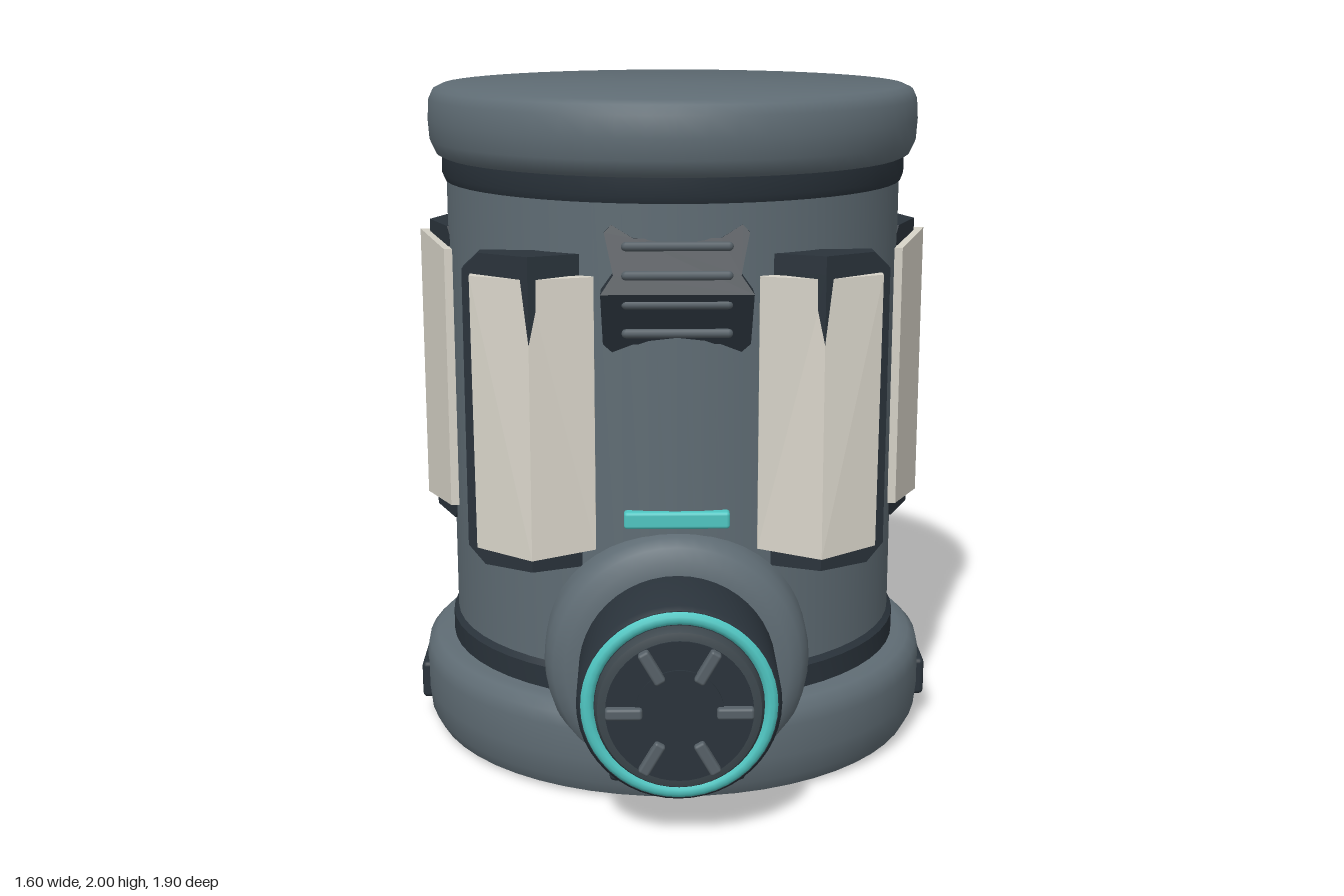
import * as THREE from 'three';
import { toCreasedNormals } from 'three/addons/utils/BufferGeometryUtils.js';
import { RoundedBoxGeometry } from 'three/addons/geometries/RoundedBoxGeometry.js';

const AXIS = -0.15; // z of the main drum axis

export function createModel() {
  const root = new THREE.Group();
  const mat = (name, color) => {
    const m = new THREE.MeshStandardMaterial({ color });
    m.name = name;
    return m;
  };
  const body = mat('slate metal', 0x5f6c74);
  const dark = mat('dark metal', 0x2a333b);
  const plate = mat('off-white panel', 0xd6d2c7);
  const teal = mat('teal glow', 0x4fc6c2);
  const grey = mat('grey trim', 0x566067);
  const disc = mat('lens grey', 0x3d474d);

  const add = (name, geo, material, x = 0, y = 0, z = 0, parent = root) => {
    const m = new THREE.Mesh(geo, material);
    m.name = name;
    m.position.set(x, y, z);
    parent.add(m);
    return m;
  };
  const lathe = (pts, seg = 56) => toCreasedNormals(
    new THREE.LatheGeometry(pts.map(p => new THREE.Vector2(p[0], p[1])), seg), 0.7);

  // Drum: base, rings, wall and cap
  add('base', lathe([[0, 0], [0.73, 0], [0.765, 0.012], [0.785, 0.05], [0.793, 0.12], [0.793, 0.21],
    [0.785, 0.25], [0.76, 0.275], [0.73, 0.28], [0, 0.28]]), body, 0, 0, AXIS);
  add('lowerRing', lathe([[0.6, 0.27], [0.705, 0.27], [0.705, 0.345], [0.69, 0.36], [0.6, 0.36]]), dark, 0, 0, AXIS);
  add('wall', lathe([[0.69, 0.27], [0.69, 1.75]]), body, 0, 0, AXIS);
  add('upperRing', lathe([[0.6, 1.72], [0.695, 1.72], [0.703, 1.74], [0.703, 1.8], [0.6, 1.8]]), dark, 0, 0, AXIS);
  add('cap', lathe([[0, 1.785], [0.69, 1.785], [0.72, 1.8], [0.738, 1.84], [0.742, 1.9], [0.738, 1.96],
    [0.725, 1.988], [0.7, 2], [0, 2]]), body, 0, 0, AXIS);

  // Flat-shaded loft through closed loops of [u, y, w], bottom to top;
  // place maps (u, w) to x, z and flip reverses faces for mirrored copies
  const loft = (rows, [place, flip]) => {
    const pos = [];
    const tri = (a, b, c) => {
      for (const p of flip ? [a, c, b] : [a, b, c]) {
        const [x, z] = place(p[0], p[2]);
        pos.push(x, p[1], z);
      }
    };
    const n = rows[0].length;
    for (let j = 0; j + 1 < rows.length; j++) {
      for (let i = 0; i < n; i++) {
        const k = (i + 1) % n, lo = rows[j], hi = rows[j + 1];
        tri(lo[k], lo[i], hi[i]);
        tri(lo[k], hi[i], hi[k]);
      }
    }
    const top = rows[rows.length - 1], bottom = rows[0];
    for (let i = 1; i + 1 < n; i++) {
      tri(bottom[0], bottom[i], bottom[i + 1]);
      tri(top[0], top[i + 1], top[i]);
    }
    const g = new THREE.BufferGeometry();
    g.setAttribute('position', new THREE.Float32BufferAttribute(pos, 3));
    g.computeVertexNormals();
    return g;
  };

  // One folded section: inner edge, ridge and outer edge, each [u, w]
  const section = (inner, ridge, outer, y, ridgeY, thick) => [
    [outer[0], y, outer[1] - thick], [outer[0], y, outer[1]], [ridge[0], ridgeY, ridge[1]],
    [inner[0], y, inner[1]], [inner[0], y, inner[1] - thick]];

  // Folded backing plate with chamfered corners
  const backing = (inner, ridge, outer, y0, y1, thick) =>
    [[y0, 0.05], [y0 + 0.05, 0], [y1 - 0.05, 0], [y1, 0.05]].map(([y, c]) => {
      const e = (p, s) => [p[0] + s * c, p[1] + (ridge[1] - p[1]) * c / Math.abs(ridge[0] - p[0])];
      return section(e(inner, 1), ridge, e(outer, -1), y, y, thick);
    });

  const front = s => [(u, w) => [s * u, AXIS + w], s < 0];
  const back = s => [(u, w) => [s * u, AXIS - w], s > 0];
  const side = s => [(u, w) => [s * w, AXIS - u], s < 0];

  // Six armour panels around the wall
  for (const s of [1, -1]) {
    const label = s > 0 ? 'left' : 'right';
    for (const [name, place, tilt] of [['Front', front(s), 0.012], ['Back', back(s), 0]]) {
      add(label + name + 'Backing', loft(backing([0.21, 0.61], [0.41, 0.69], [0.6, 0.58], 0.67, 1.575, 0.06), place), dark);
      add(label + name + 'Panel', loft([
        section([0.23, 0.665], [0.41, 0.71], [0.57, 0.64], 0.73, 0.71, 0.04),
        section([0.23, 0.66], [0.41, 0.708 - tilt * 2], [0.575, 0.635], 1.515, 1.51, 0.04)], place), plate);
    }
    add(label + 'SideBacking', loft(backing([-0.16, 0.665], [0.05, 0.755], [0.29, 0.665], 0.66, 1.58, 0.06), side(s)), dark);
    add(label + 'SidePanel', loft([
      section([-0.18, 0.69], [0.05, 0.785], [0.26, 0.69], 0.72, 0.7, 0.04),
      section([-0.18, 0.69], [0.05, 0.785], [0.26, 0.69], 1.52, 1.55, 0.04)], side(s)), plate);
  }

  // Rear vent with five rungs
  const rung = (r, len) => new THREE.CapsuleGeometry(r, len, 3, 8).rotateZ(Math.PI / 2);
  add('rearVent', loft(backing([-0.17, 0.71], [0, 0.74], [0.17, 0.71], 0.95, 1.56, 0.07), back(1)), dark);
  for (let i = 0; i < 5; i++) add('rearRung', rung(0.014, 0.2), grey, 0, 1.05 + i * 0.108, AXIS - 0.738);

  // Front vent: two halves folded along the middle, with four rungs
  const halves = [
    [[-0.21, 1.48], [0.21, 1.48], [0.175, 1.53], [0.2, 1.64], [0.18, 1.66], [0.12, 1.625], [-0.12, 1.625], [-0.18, 1.66], [-0.2, 1.64], [-0.175, 1.53]],
    [[0.21, 1.48], [-0.21, 1.48], [-0.205, 1.33], [-0.18, 1.305], [-0.12, 1.33], [0.12, 1.33], [0.18, 1.305], [0.205, 1.33]]];
  for (const pts of halves) {
    const g = new THREE.ExtrudeGeometry(new THREE.Shape(pts.map(p => new THREE.Vector2(...p))),
      { depth: 1, bevelEnabled: false });
    const p = g.attributes.position;
    for (let i = 0; i < p.count; i++) {
      p.setZ(i, p.getZ(i) > 0.5 ? 0.6 - 0.46 * Math.abs(p.getY(i) - 1.48) : 0.46);
    }
    g.computeVertexNormals();
    add('frontVent', g, dark);
  }
  for (const y of [1.61, 1.53, 1.45, 1.37]) add('frontRung', rung(0.013, 0.28), grey, 0, y, 0.582);

  // Glowing bar above the nozzle
  add('lightBar', new RoundedBoxGeometry(0.3, 0.05, 0.06, 2, 0.01), teal, 0, 0.825, 0.525);

  // Nozzle: collar, barrel, glowing ring and spoked lens
  const nozzle = new THREE.Group();
  nozzle.name = 'nozzle';
  nozzle.position.set(0, 0.405, 0);
  root.add(nozzle);
  const turned = (name, pts, m) => add(name, lathe(pts, 48).rotateX(Math.PI / 2), m, 0, 0, 0, nozzle);
  turned('collar', [[0.382, 0.3], [0.382, 0.52], [0.375, 0.56], [0.355, 0.595], [0.32, 0.615], [0.27, 0.62], [0, 0.62]], body);
  turned('barrel', [[0.28, 0.58], [0.28, 0.865], [0.27, 0.88], [0, 0.88]], dark);
  add('glowRing', new THREE.TorusGeometry(0.25, 0.021, 10, 48), teal, 0, 0, 0.871, nozzle);
  turned('lensRim', [[0.23, 0.86], [0.23, 0.9], [0.222, 0.915], [0.205, 0.92], [0, 0.92]], disc);
  turned('lensFace', [[0.2, 0.915], [0.2, 0.924], [0, 0.924]], dark);
  turned('hub', [[0.12, 0.92], [0.12, 0.93], [0, 0.93]], dark);
  for (let i = 0; i < 6; i++) {
    const a = i * Math.PI / 3;
    const m = add('spoke', new RoundedBoxGeometry(0.1, 0.032, 0.03, 2, 0.008), grey,
      0.15 * Math.cos(a), 0.15 * Math.sin(a), 0.932, nozzle);
    m.rotation.z = a;
  }

  // Four foot blocks set into the base
  for (let i = 0; i < 4; i++) {
    const a = i * Math.PI / 2;
    const m = add('footBlock', new RoundedBoxGeometry(i % 2 ? 0.33 : 0.39, 0.12, 0.1, 2, 0.015), dark,
      0.75 * Math.sin(a), 0.135, AXIS + 0.75 * Math.cos(a));
    m.rotation.y = a;
  }
  return root;
}
